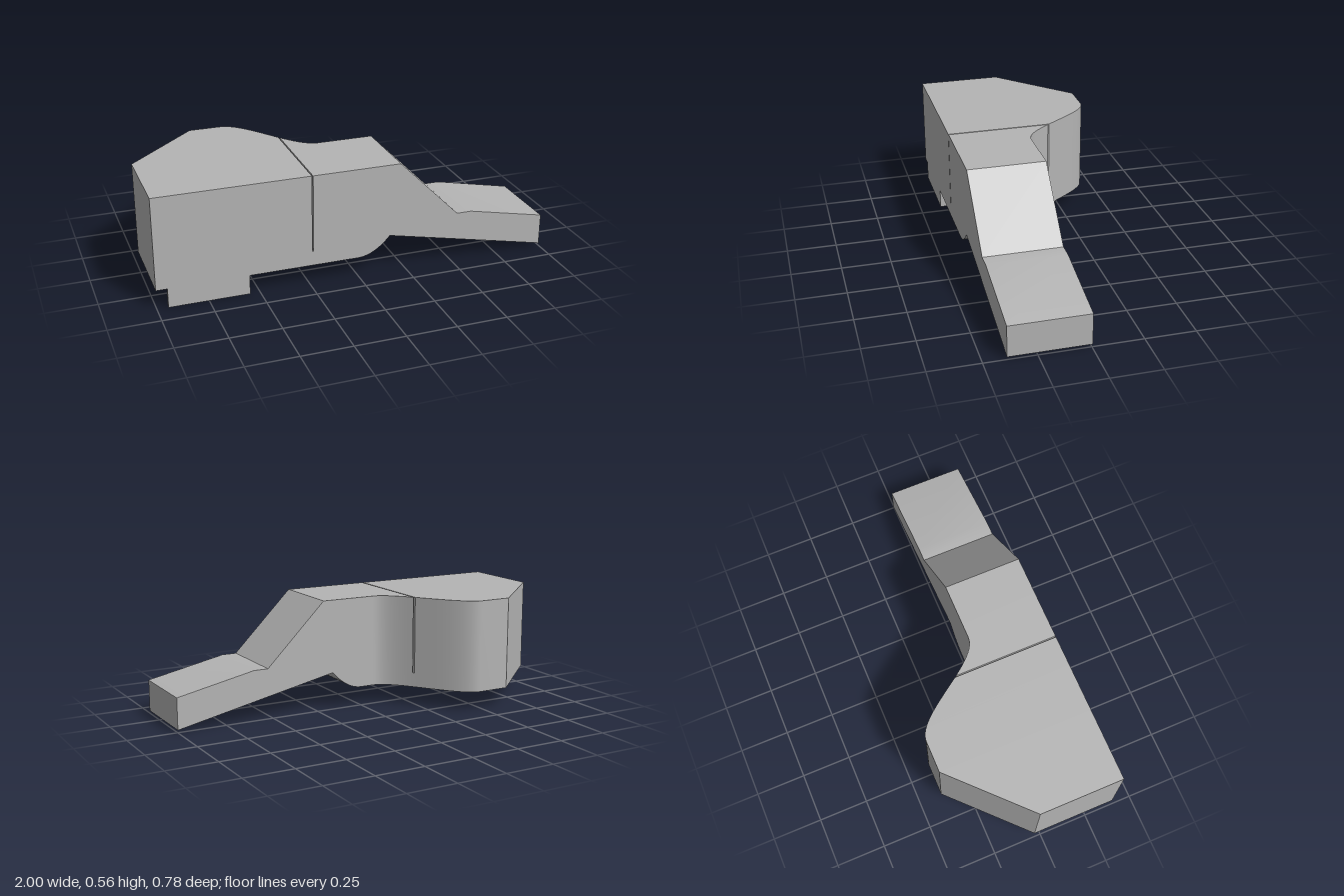
import * as THREE from 'three';
import { toCreasedNormals } from 'three/addons/utils/BufferGeometryUtils.js';

const FRONT = 0.39, BACK = -0.39, ARM_BACK = -0.004;
const TOP = 0.565, BASE = 0.098;
const SLOT = [-0.235, -0.229], SLOT_FLOOR = 0.172;
const { lerp, clamp } = THREE.MathUtils;
const ramp = (x, a, b) => clamp((x - a) / (b - a), 0, 1);

// Rear outline seen from above: angled corner, then an S-curve into the arm
function backZ(x) {
  if (x < -0.635) return lerp(-0.037, BACK, ramp(x, -1, -0.635));
  const t = ramp(x, -0.475, -0.07);
  return lerp(BACK, ARM_BACK, t * t * (3 - 2 * t));
}

// Underside: flat, a rounded rise, then a long slope down the arm
function bottomY(x) {
  if (x < 0.165) return lerp(BASE, 0.192, ramp(x, 0, 0.165) ** 2);
  return lerp(0.192, 0.013, ramp(x, 0.165, 1));
}

// Top: flat, steep slope, short landing, gentle slope
function topY(x) {
  if (x < 0.525) return lerp(TOP, 0.256, ramp(x, 0.215, 0.525));
  return lerp(0.256, 0.172, ramp(x, 0.6, 1));
}

// Rectangular cross-sections joined along x
function bodyGeometry() {
  const xs = [-1, -0.635, 0.165, 0.215, 0.525, 0.6, 1];
  for (let i = 0; i <= 28; i++) xs.push(lerp(-0.475, -0.07, i / 28));
  for (let i = 0; i < 10; i++) xs.push(0.165 * i / 10);
  const stations = xs.filter(x => x < SLOT[0] - 0.001 || x > SLOT[1] + 0.001).map(x => [x, topY(x)]);
  // The narrow saw slot drops the top for a moment
  const slot = [[SLOT[0], TOP], [SLOT[0], SLOT_FLOOR], [SLOT[1], SLOT_FLOOR], [SLOT[1], TOP]];
  stations.push(...slot);
  stations.sort((a, b) => a[0] - b[0]);

  const rings = stations.map(([x, top]) => [
    new THREE.Vector3(x, bottomY(x), FRONT),
    new THREE.Vector3(x, bottomY(x), backZ(x)),
    new THREE.Vector3(x, top, backZ(x)),
    new THREE.Vector3(x, top, FRONT)
  ]);
  const points = [];
  const tri = (a, b, c) => {
    if (new THREE.Triangle(a, b, c).getArea() > 1e-8) points.push(a, b, c);
  };
  const quad = (a, b, c, d) => { tri(a, b, c); tri(a, c, d); };
  for (let i = 0; i < rings.length - 1; i++) {
    const r = rings[i], s = rings[i + 1];
    for (let k = 0; k < 4; k++) {
      const n = (k + 1) % 4;
      quad(r[k], r[n], s[n], s[k]);
    }
  }
  const [a, b, c, d] = rings[0];
  quad(a, d, c, b);
  quad(...rings[rings.length - 1]);
  return toCreasedNormals(new THREE.BufferGeometry().setFromPoints(points), 0.5);
}

export function createModel() {
  const model = new THREE.Group();
  model.name = 'wedgeBlock';
  const grey = new THREE.MeshStandardMaterial({ color: 0xb4b4b4 });
  grey.name = 'plain grey';

  const add = (name, geometry, parent, x = 0, y = 0, z = 0) => {
    const mesh = new THREE.Mesh(geometry, grey);
    mesh.name = name;
    mesh.position.set(x, y, z);
    parent.add(mesh);
  };

  add('slottedBody', bodyGeometry(), model);

  // Half-round locating peg under the body
  const peg = new THREE.Group();
  peg.name = 'locatingPeg';
  peg.position.set(-0.747, BASE / 2, FRONT);
  const r = 0.198;
  add('pegRound', new THREE.CylinderGeometry(r, r, BASE, 40, 1, false, Math.PI / 2, Math.PI), peg);
  add('pegFlat', new THREE.PlaneGeometry(2 * r, BASE), peg);
  model.add(peg);

  return model;
}
